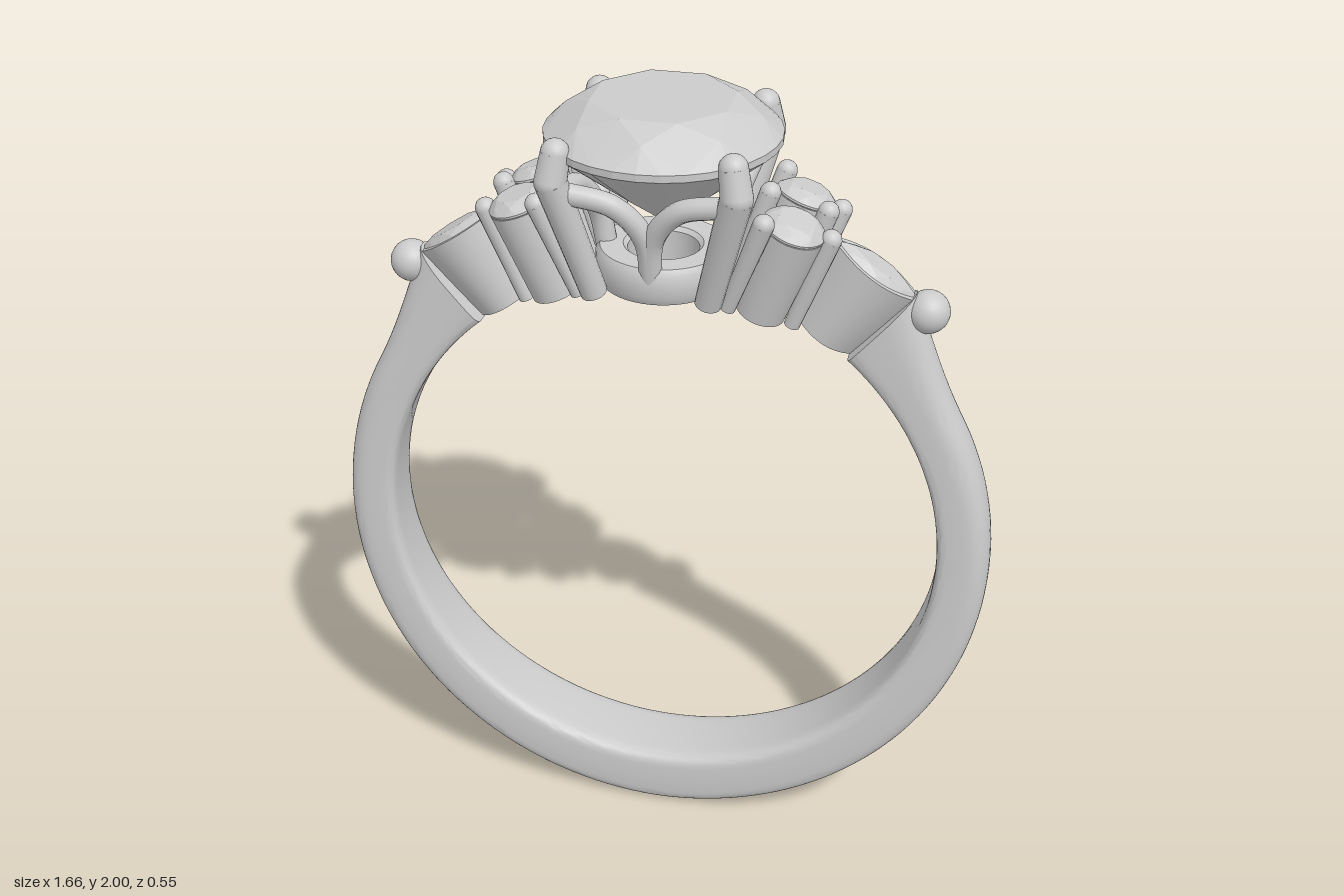
import * as THREE from 'three';
import { toCreasedNormals } from 'three/addons/utils/BufferGeometryUtils.js';
import { ConvexGeometry } from 'three/addons/geometries/ConvexGeometry.js';

const material = new THREE.MeshStandardMaterial({ color: 0xcccccc });
const UP = new THREE.Vector3(0, 1, 0);
const V = (x, y, z) => new THREE.Vector3(x, y, z);
const CY = 0.86, RI = 0.70; // finger hole centre height and radius
const holeY = x => CY + Math.sqrt(RI * RI - x * x);

function add(parent, name, geometry) {
  const mesh = new THREE.Mesh(geometry, material);
  mesh.name = name;
  parent.add(mesh);
  return mesh;
}

// Skin over a list of closed cross-sections
function loft(rows) {
  const n = rows[0].length, pos = [], index = [];
  rows.forEach(row => row.forEach(p => pos.push(p.x, p.y, p.z)));
  for (let i = 0; i < rows.length - 1; i++) {
    for (let j = 0; j < n; j++) {
      const a = i * n + j, b = i * n + (j + 1) % n;
      index.push(a, a + n, b, b, a + n, b + n);
    }
  }
  const g = new THREE.BufferGeometry();
  g.setAttribute('position', new THREE.Float32BufferAttribute(pos, 3));
  g.setIndex(index);
  return toCreasedNormals(g, 0.7);
}

// Tapered round wire with a ball on its upper end
function rod(parent, name, a, b, ra, rb) {
  const dir = b.clone().sub(a), len = dir.length();
  const wire = add(parent, name, new THREE.CylinderGeometry(rb, ra, len, 16, 1));
  wire.position.copy(a).addScaledVector(dir, 0.5);
  wire.quaternion.setFromUnitVectors(UP, dir.normalize());
  add(parent, name + 'Tip', new THREE.SphereGeometry(rb, 16, 12)).position.copy(b);
}

const circle = t => [Math.cos(t), Math.sin(t)];
const lens = t => [Math.cos(t), Math.sin(t) * Math.abs(Math.sin(t))];

// Faceted stone: table, crown, girdle at y = 0, pavilion and culet
function gem(outline, a, b, crown, pavilion) {
  const points = [V(0, -pavilion, 0)];
  const ring = (n, r, y, shift) => {
    for (let i = 0; i < n; i++) {
      const [x, z] = outline((i + shift) * 2 * Math.PI / n);
      points.push(V(x * a * r, y, z * b * r));
    }
  };
  ring(8, 0.62, crown, 0.5);
  ring(8, 0.83, crown * 0.64, 0);
  ring(32, 1, crown * 0.1, 0);
  ring(32, 1, -crown * 0.1, 0);
  ring(8, 0.45, -pavilion * 0.6, 0.5);
  return new ConvexGeometry(points);
}

// Band: narrows towards the shoulders, which flare outwards
function band() {
  const rows = [], N = 120, M = 40;
  for (let i = 0; i <= N; i++) {
    const s = -140 + 280 * i / N, k = Math.abs(s), th = (s - 90) * Math.PI / 180;
    const flare = Math.max(0, (k - 118) / 22);
    const ro = 0.86 - 0.032 * THREE.MathUtils.smoothstep(k, 0, 105) + 0.105 * flare * flare;
    const rc = (ro + RI) / 2, h = (ro - RI) / 2;
    const w = 0.105 - 0.05 * (1 - Math.cos(s * Math.PI / 180)) / 1.75;
    const nOut = THREE.MathUtils.lerp(5, 2.3, Math.min(1, k / 110));
    const row = [];
    for (let j = 0; j < M; j++) {
      const f = j * 2 * Math.PI / M, c = Math.cos(f), q = Math.sin(f);
      const e = 2 / (c > 0 ? nOut : 6);
      const r = rc + h * Math.sign(c) * Math.abs(c) ** e;
      row.push(V(r * Math.cos(th), CY + r * Math.sin(th), w * Math.sign(q) * Math.abs(q) ** e));
    }
    const cap = row.map(() => V(rc * Math.cos(th), CY + rc * Math.sin(th), 0));
    if (i === 0) rows.push(cap);
    rows.push(row);
    if (i === N) rows.push(cap);
  }
  return loft(rows);
}

// Pointed oval setting, open through the middle
function marquiseSetting(height) {
  const row = (a, b, y) => Array.from({ length: 48 }, (_, j) => {
    const [x, z] = lens(j * Math.PI / 24);
    return V(a * x, y, b * z);
  });
  const base = () => row(0.085, 0.05, 0);
  return loft([base(), row(0.132, 0.066, height), row(0.115, 0.054, height),
    row(0.1, 0.045, height - 0.05), row(0.055, 0.028, 0), base()]);
}

function sideStones(name) {
  const side = new THREE.Group();
  side.name = name;

  // Ball on the band's shoulder
  const ball = add(side, 'shoulderBall', new THREE.SphereGeometry(0.052, 24, 16));
  ball.position.set(0.628, 1.528, 0);

  // Pointed oval stone
  const angle = 56.5 * Math.PI / 180;
  const marquise = new THREE.Group();
  marquise.name = 'marquise';
  marquise.position.set(RI * Math.cos(angle), CY + RI * Math.sin(angle), 0);
  marquise.rotation.z = angle - Math.PI / 2;
  add(marquise, 'marquiseSetting', marquiseSetting(0.215));
  add(marquise, 'marquiseStone', gem(lens, 0.122, 0.06, 0.025, 0.08)).position.y = 0.205;
  side.add(marquise);

  // Pair of small round stones in tapered cups
  for (const s of [-1, 1]) {
    const foot = V(0.245, holeY(0.245) + 0.005, 0.065 * s), top = V(0.32, 1.745, 0.09 * s);
    const axis = top.clone().sub(foot), h = axis.length();
    const cup = new THREE.Group();
    cup.name = 'roundStone';
    cup.position.copy(foot);
    cup.quaternion.setFromUnitVectors(UP, axis.normalize());
    const profile = [[0.03, 0], [0.06, 0], [0.074, h], [0.066, h], [0.055, h - 0.05], [0.03, 0]];
    add(cup, 'stoneCup', toCreasedNormals(new THREE.LatheGeometry(
      profile.map(p => new THREE.Vector2(...p)), 32), 0.6));
    add(cup, 'smallStone', gem(circle, 0.074, 0.074, 0.025, 0.07)).position.y = h + 0.005;
    side.add(cup);
  }

  // Small prongs around the pair
  const tips = [[0.405, 1.725, 0.085], [0.405, 1.725, -0.085], [0.262, 1.78, 0.158],
    [0.262, 1.78, -0.158], [0.385, 1.755, 0], [0.25, 1.79, 0]];
  for (const [x, y, z] of tips) {
    const fx = x - 0.085;
    rod(side, 'smallProng', V(fx, holeY(fx) + 0.008, z * 0.75), V(x, y, z), 0.019, 0.025);
  }
  return side;
}

export function createModel() {
  const ring = new THREE.Group();
  ring.name = 'ring';
  add(ring, 'band', band());

  const left = sideStones('leftSideStones');
  const right = sideStones('rightSideStones');
  right.rotation.y = Math.PI;
  ring.add(left, right);

  // Centre stone and the collar beneath it
  add(ring, 'centreStone', gem(circle, 0.275, 0.275, 0.085, 0.22)).position.y = 1.915;
  const collar = [[0.085, 1.55], [0.15, 1.55], [0.16, 1.57], [0.16, 1.625], [0.15, 1.64],
    [0.095, 1.64], [0.085, 1.63], [0.085, 1.55]];
  add(ring, 'collar', toCreasedNormals(new THREE.LatheGeometry(
    collar.map(p => new THREE.Vector2(...p)), 48), 0.6));

  // Four claws, with a forked gallery wire between each pair
  for (let i = 0; i < 4; i++) {
    const quarter = new THREE.Group();
    quarter.name = 'headQuarter';
    quarter.rotation.y = i * Math.PI / 2;
    rod(quarter, 'clawLeg', V(0.135, 1.56, 0.135), V(0.21, 1.86, 0.21), 0.032, 0.038);
    rod(quarter, 'clawTip', V(0.21, 1.86, 0.21), V(0.2, 1.925, 0.2), 0.038, 0.034);
    for (const s of [-1, 1]) {
      const path = new THREE.CatmullRomCurve3([V(0, 1.61, 0.135), V(0.012 * s, 1.72, 0.155),
        V(0.075 * s, 1.8, 0.18), V(0.19 * s, 1.83, 0.195)]);
      add(quarter, 'galleryWire', new THREE.TubeGeometry(path, 24, 0.026, 12));
    }
    ring.add(quarter);
  }
  return ring;
}
